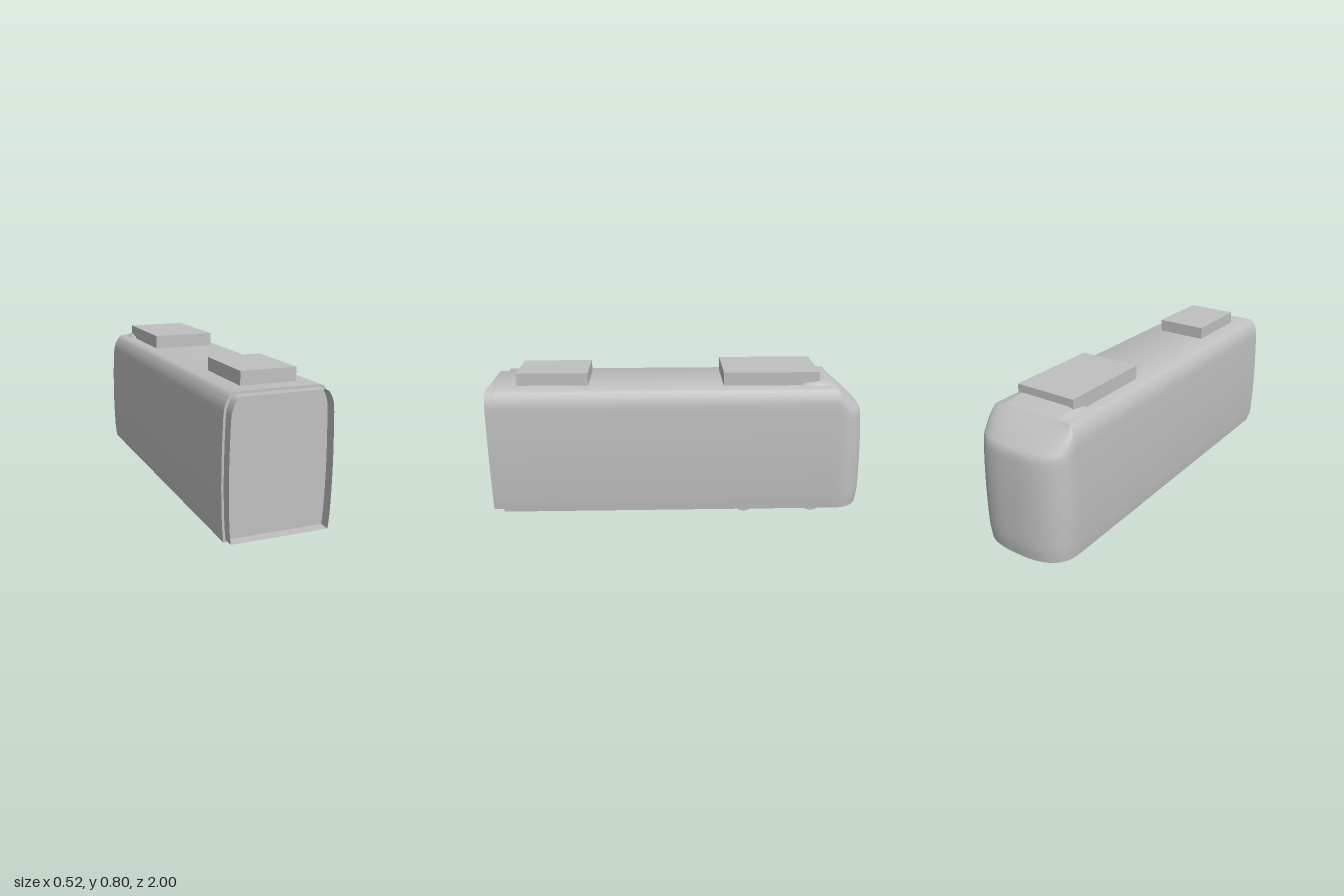
import * as THREE from 'three';
import { toCreasedNormals } from 'three/addons/utils/BufferGeometryUtils.js';

// Half profile of the carriage: half width, height, and how far the nose reaches there
const PROFILE = new THREE.CatmullRomCurve3([
  [0.25, 0.055, -0.993], [0.256, 0.12, -1], [0.261, 0.25, -0.998], [0.262, 0.38, -0.993],
  [0.259, 0.52, -0.983], [0.2565, 0.59, -0.971], [0.255, 0.625, -0.94], [0.25, 0.662, -0.9],
  [0.235, 0.7, -0.852], [0.22, 0.718, -0.828], [0.205, 0.725, -0.82],
].map((p) => new THREE.Vector3(...p))).getPoints(40);

const NOSE_START = -0.82;
const FRONT_END = 0.945;

// Closed outline of the cross-section, from the left sill over the roof to the right sill
const SECTION = [
  ...PROFILE.map((p) => new THREE.Vector2(p.x, p.y)),
  ...PROFILE.slice().reverse().map((p) => new THREE.Vector2(-p.x, p.y)),
];

// Surface from a grid of points given by fn(row, column)
function grid(rows, cols, fn) {
  const positions = [];
  const index = [];
  for (let i = 0; i <= rows; i++) {
    for (let j = 0; j <= cols; j++) positions.push(...fn(i, j));
  }
  for (let i = 0; i < rows; i++) {
    for (let j = 0; j < cols; j++) {
      const a = i * (cols + 1) + j;
      const b = a + cols + 1;
      index.push(a, a + 1, b + 1, a, b + 1, b);
    }
  }
  const geometry = new THREE.BufferGeometry();
  geometry.setAttribute('position', new THREE.Float32BufferAttribute(positions, 3));
  geometry.setIndex(index);
  geometry.computeVertexNormals();
  return geometry;
}

// Rounded plan of the nose: t runs 0..1 from the left side round to the right side
function nosePlan(p, t) {
  const c = Math.cos(t * Math.PI);
  const s = Math.sin(t * Math.PI);
  const e = 2 / 2.6;
  const x = p.x * Math.sign(c) * Math.abs(c) ** e;
  const z = NOSE_START + (p.z - NOSE_START) * Math.max(s, 0) ** e;
  return [x, p.y, z];
}

export function createModel() {
  const model = new THREE.Group();
  model.name = 'railCar';
  const grey = new THREE.MeshStandardMaterial({ color: 0xc0c0c0, side: THREE.DoubleSide });
  grey.name = 'plain grey';

  function add(name, geometry, x = 0, y = 0, z = 0) {
    const mesh = new THREE.Mesh(geometry, grey);
    mesh.name = name;
    mesh.position.set(x, y, z);
    model.add(mesh);
    return mesh;
  }

  // Long body; its front cap is the recessed end wall
  const body = new THREE.ExtrudeGeometry(new THREE.Shape(SECTION), {
    depth: FRONT_END - NOSE_START, bevelEnabled: false,
  });
  add('body', toCreasedNormals(body, 0.6), 0, 0, NOSE_START);

  // Rounded nose and its flat underside
  const cols = 40;
  add('nose', grid(PROFILE.length - 1, cols, (i, j) => nosePlan(PROFILE[i], j / cols)));
  add('noseFloor', grid(1, cols, (i, j) => {
    const [x, y, z] = nosePlan(PROFILE[0], j / cols);
    return i ? [x, y, z] : [x, y, NOSE_START];
  }));

  // Open collar around the end wall
  const ring = [...SECTION, SECTION[0]];
  const collar = grid(1, ring.length - 1, (i, j) => [
    ring[j].x * 0.957, 0.39 + (ring[j].y - 0.39) * 0.97, i ? 1 : FRONT_END - 0.005,
  ]);
  add('endCollar', toCreasedNormals(collar, 0.6));

  // Roof equipment boxes
  add('frontRoofBox', new THREE.BoxGeometry(0.272, 0.08, 0.37), 0, 0.75, 0.663);
  add('rearRoofBox', new THREE.BoxGeometry(0.33, 0.085, 0.5), 0, 0.7525, -0.48);

  // Low fairing leading from the nose up to the rear box
  const fairing = [[-0.825, 0], [-0.78, 0.022], [-0.73, 0.034], [-0.69, 0.026], [-0.65, 0.02], [-0.63, 0]];
  const across = [0.19, 0.18, 0.165, 0.14, -0.14, -0.165, -0.18, -0.19];
  const rise = [0, 0.35, 0.75, 1, 1, 0.75, 0.35, 0];
  add('roofFairing', grid(fairing.length - 1, across.length - 1, (i, j) => [
    across[j], 0.722 + fairing[i][1] * rise[j], fairing[i][0],
  ]));

  // Wheels half hidden in the floor
  const wheel = new THREE.CylinderGeometry(0.056, 0.056, 0.022, 12).rotateZ(Math.PI / 2);
  for (const z of [-0.355, -0.728]) {
    for (const side of [1, -1]) {
      add(side > 0 ? 'leftWheel' : 'rightWheel', toCreasedNormals(wheel, 0.6), side * 0.157, 0.056, z);
    }
  }
  return model;
}
